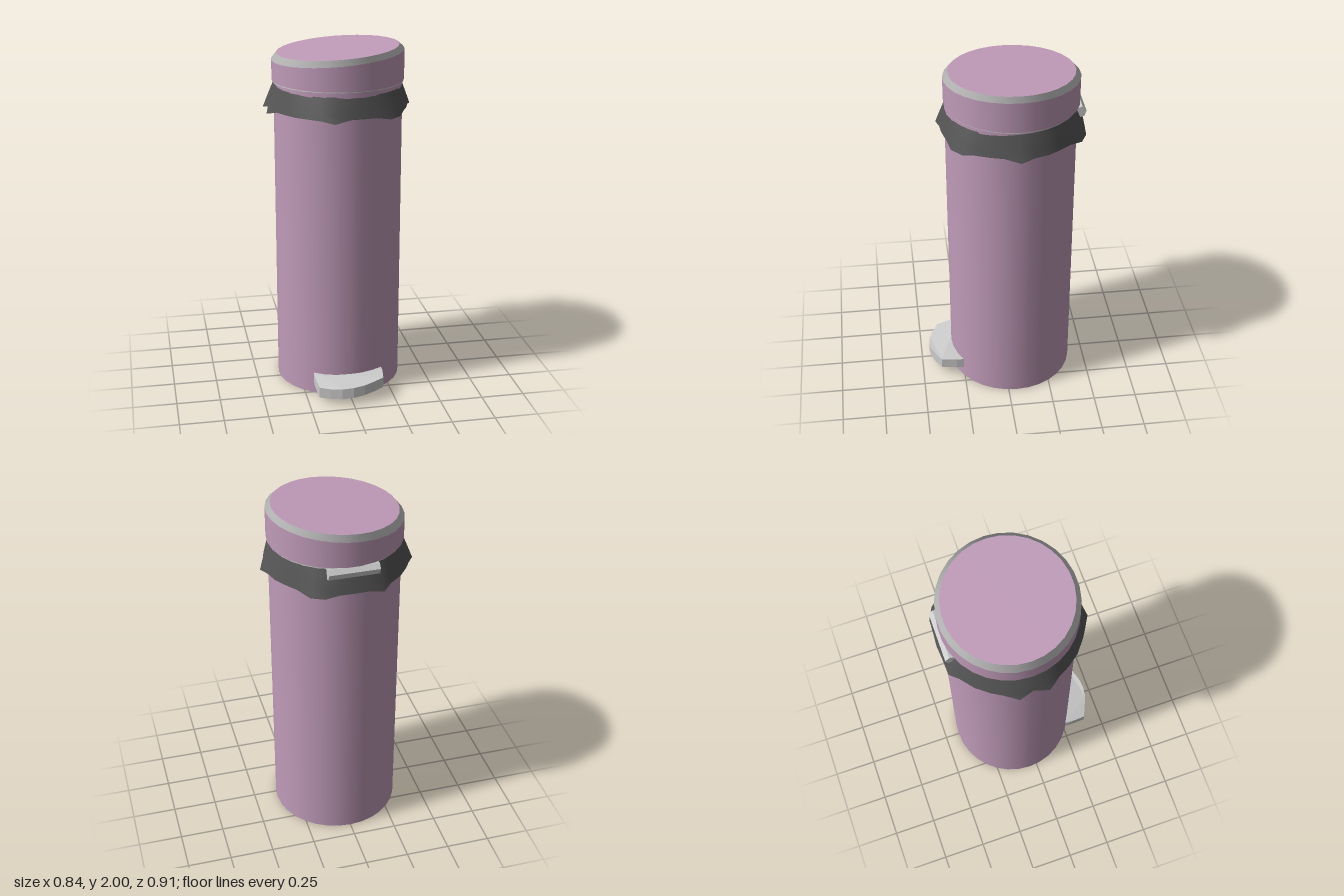
import * as THREE from 'three';

const SIDES = 30, CZ = -0.055;
const mat = (color, extra = {}) => new THREE.MeshStandardMaterial({ color, ...extra });

export function createModel() {
  const root = new THREE.Group();
  const mauve = mat(0xc09bb9), grey = mat(0xcccccc);
  const greyFlat = mat(0xcccccc, { flatShading: true });
  const bagMat = mat(0x555555, { side: THREE.DoubleSide });

  const add = (name, geo, material, x = 0, y = 0, z = 0) => {
    const m = new THREE.Mesh(geo, material);
    m.name = name;
    m.position.set(x, y, z);
    root.add(m);
    return m;
  };

  // Ring between two heights; each end may slope along x
  const ring = (r0, y0, s0, r1, y1, s1) => {
    const g = new THREE.CylinderGeometry(r1, r0, 1, SIDES, 1, true, Math.PI / 2);
    const p = g.attributes.position;
    for (let i = 0; i < p.count; i++) {
      const x = p.getX(i);
      p.setY(i, p.getY(i) > 0 ? y1 + x * s1 : y0 + x * s0);
    }
    g.computeBoundingSphere();
    return g;
  };

  // Round bin body
  add('body', new THREE.CylinderGeometry(0.365, 0.365, 1.8, 32), mauve, 0, 0.9, CZ + 0.005);

  // Lid with a slanted top and bevelled edges
  add('lidUnderside', ring(0.36, 1.785, 0, 0.375, 1.802, 0), grey, 0, 0, CZ);
  add('lidWall', ring(0.375, 1.802, 0, 0.375, 1.945, 0.08), mauve, 0, 0, CZ);
  add('lidBevel', ring(0.375, 1.945, 0.08, 0.347, 1.976, 0.07), grey, 0, 0, CZ);
  const cap = new THREE.CircleGeometry(0.347, SIDES).rotateX(-Math.PI / 2);
  const cp = cap.attributes.position;
  for (let i = 0; i < cp.count; i++) cp.setY(i, 1.976 + cp.getX(i) * 0.07);
  cap.computeVertexNormals();
  add('lidTop', cap, mauve, 0, 0, CZ);

  // Flared bag edge: ragged hem [x, z], lower where it sticks out further
  const hem = [
    [0.42, -0.055], [0.385, 0.03], [0.365, 0.1], [0.325, 0.185], [0.295, 0.245], [0.23, 0.3],
    [0.145, 0.32], [0.07, 0.338], [0, 0.345], [-0.09, 0.36], [-0.16, 0.32], [-0.21, 0.29],
    [-0.285, 0.23], [-0.335, 0.165], [-0.37, 0.1], [-0.42, 0.03], [-0.4, -0.055], [-0.42, -0.135],
    [-0.375, -0.21], [-0.34, -0.27], [-0.285, -0.34], [-0.21, -0.4], [-0.165, -0.445],
    [-0.08, -0.449], [0, -0.455], [0.08, -0.449], [0.16, -0.445], [0.23, -0.41], [0.285, -0.335],
    [0.33, -0.275], [0.37, -0.21], [0.395, -0.13],
  ];
  const n = hem.length, rows = 4, pos = [], idx = [];
  for (let j = 0; j <= rows; j++) {
    const t = j / rows;
    for (const [x, hz] of hem) {
      const z = hz - CZ, r = Math.hypot(x, z);
      const y = 1.655 - Math.max(0, r - 0.4) * 0.75;
      const k = (0.363 + (r - 0.363) * Math.pow(t, 0.95)) / r;
      pos.push(x * k, 1.79 + (y - 1.79) * t, z * k);
    }
  }
  for (let j = 0; j < rows; j++) for (let i = 0; i < n; i++) {
    const a = j * n + i, b = j * n + (i + 1) % n;
    idx.push(a, b, a + n, b, b + n, a + n);
  }
  // corners run +x to +z, so swap each triangle to face outwards
  for (let i = 0; i < idx.length; i += 3) [idx[i + 1], idx[i + 2]] = [idx[i + 2], idx[i + 1]];
  const bag = new THREE.BufferGeometry();
  bag.setAttribute('position', new THREE.Float32BufferAttribute(pos, 3));
  // outward check: flip the winding if the first face looks inwards
  bag.setIndex(idx);
  bag.computeVertexNormals();
  if (bag.attributes.normal.getX(n) < 0) {
    bag.setIndex(idx.slice().reverse());
    bag.computeVertexNormals();
  }
  add('bagEdge', bag, bagMat, 0, 0, CZ);

  // Six-sided hinge bar at the back
  const hinge = new THREE.CylinderGeometry(0.034, 0.034, 0.28, 6).rotateZ(Math.PI / 2).rotateX(0.2);
  add('hinge', hinge, greyFlat, 0, 1.77, -0.412);

  // Foot pedal, drooping at its front right corner
  const outline = [
    [-0.2, 0.25], [-0.2, 0.3], [-0.19, 0.39], [-0.13, 0.42], [-0.065, 0.445], [0, 0.453],
    [0.065, 0.445], [0.13, 0.42], [0.185, 0.39], [0.2, 0.3], [0.2, 0.25],
  ];
  const shape = new THREE.Shape(outline.map(([x, z]) => new THREE.Vector2(x, -z)));
  const pedal = new THREE.ExtrudeGeometry(shape, { depth: 0.062, bevelEnabled: false }).rotateX(-Math.PI / 2);
  const pp = pedal.attributes.position;
  for (let i = 0; i < pp.count; i++) {
    const droop = THREE.MathUtils.clamp((pp.getZ(i) - 0.25) / 0.14, 0, 1.3);
    pp.setY(i, pp.getY(i) + 0.066 - 0.032 * droop * (0.19 - pp.getX(i)) / 0.38);
  }
  pedal.computeVertexNormals();
  add('pedal', pedal, greyFlat);

  return root;
}
